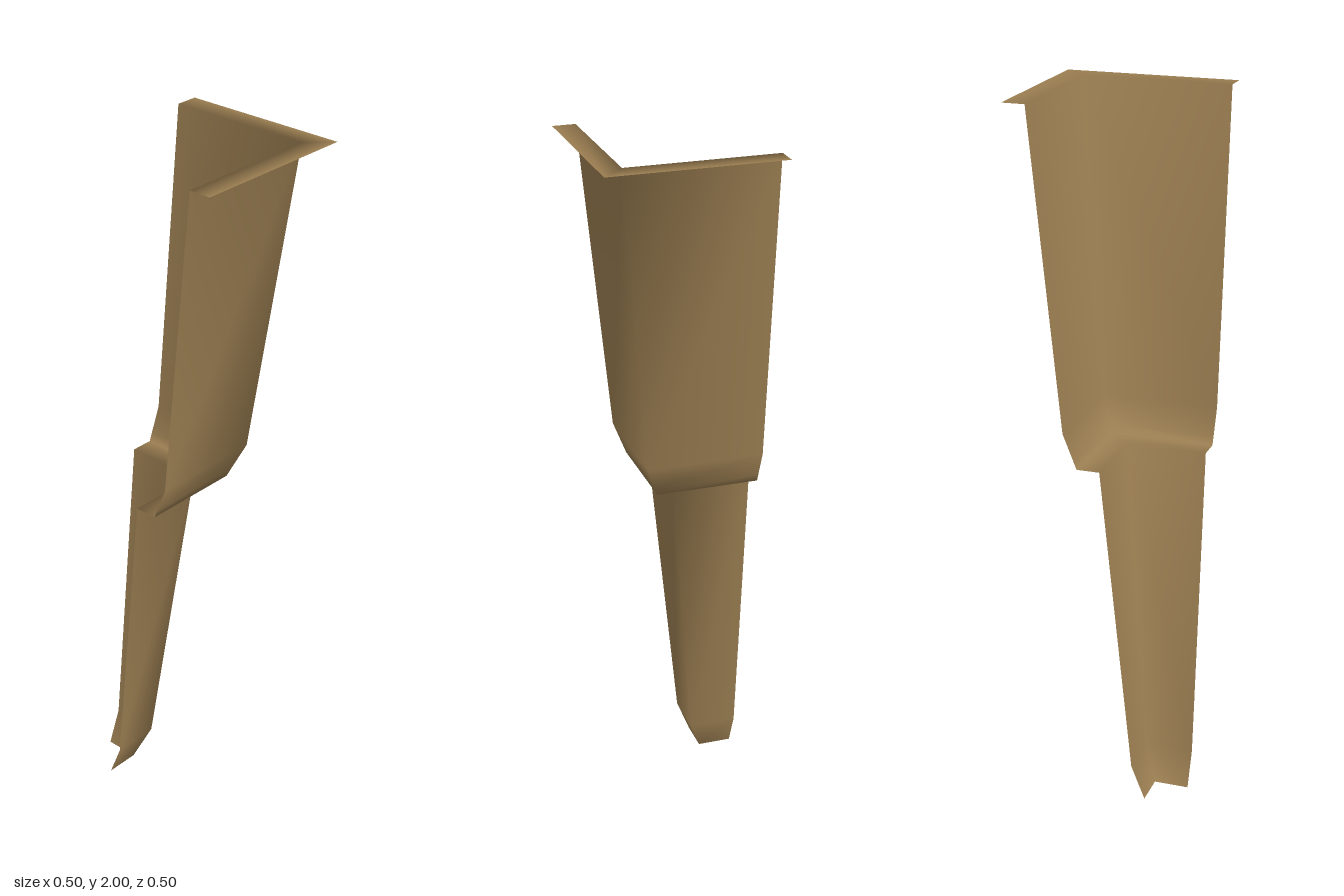
import * as THREE from 'three';

// Stepped corner shell: a vertical profile swept along an L-shaped path
export function createModel() {
  const group = new THREE.Group();
  const bronze = new THREE.MeshStandardMaterial({ color: 0x9c7f52, side: THREE.DoubleSide });
  bronze.name = 'bronze';

  // [distance of both walls from the centre, height], from foot to top flange
  const profile = [
    [-0.15, 0], [-0.11, 0.1], [-0.016, 1],           // lower tapered leg
    [0.05, 1], [0.06, 1.025], [0.09, 1.1], [0.184, 2], // ledge and upper section
    [0.25, 2],                                       // top flange
  ];
  const end = -0.25;
  const positions = [];
  const index = [];
  profile.forEach(([d, y], i) => {
    positions.push(end, y, d, d, y, d, d, y, end);
    if (i === 0) return;
    for (let k = 0; k < 2; k++) {
      const a = (i - 1) * 3 + k, b = a + 1, c = a + 3, e = a + 4;
      index.push(a, b, e, a, e, c);
    }
  });
  const geometry = new THREE.BufferGeometry();
  geometry.setAttribute('position', new THREE.Float32BufferAttribute(positions, 3));
  geometry.setIndex(index);
  geometry.computeVertexNormals();

  const shell = new THREE.Mesh(geometry, bronze);
  shell.name = 'cornerShell';
  group.add(shell);
  return group;
}
